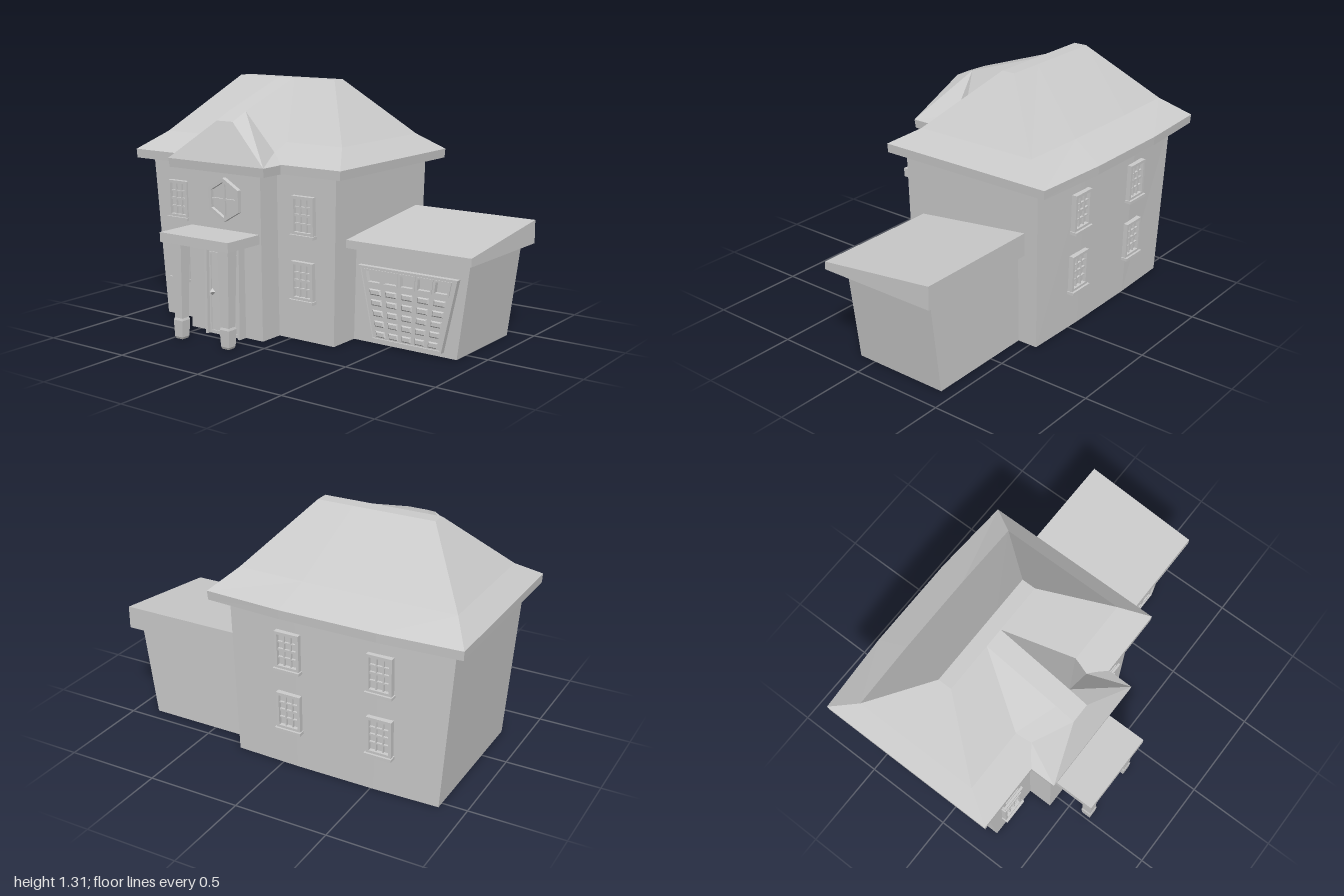
import * as THREE from 'three';

const mat = new THREE.MeshStandardMaterial({ color: 0xcccccc, flatShading: true });

function add(parent, name, geo, x = 0, y = 0, z = 0) {
  const m = new THREE.Mesh(geo, mat);
  m.name = name;
  m.position.set(x, y, z);
  parent.add(m);
  return m;
}

// flat-shaded faces, each a convex polygon of [x, y, z] corners
function faces(polys) {
  const v = [];
  for (const p of polys)
    for (let i = 1; i < p.length - 1; i++) v.push(...p[0], ...p[i], ...p[i + 1]);
  const g = new THREE.BufferGeometry();
  g.setAttribute('position', new THREE.Float32BufferAttribute(v, 3));
  g.computeVertexNormals();
  return g;
}

// closed solid through rings of equal length, bottom to top
function loft(rings) {
  const polys = [[...rings[0]].reverse(), rings[rings.length - 1]];
  for (let k = 0; k < rings.length - 1; k++) {
    const a = rings[k], b = rings[k + 1], n = a.length;
    for (let i = 0; i < n; i++) {
      const j = (i + 1) % n;
      polys.push([a[i], a[j], b[j], b[i]]);
    }
  }
  return faces(polys);
}

// rectangle ring; back and front heights may differ
const rect = (x0, x1, z0, z1, y, yBack = y) =>
  [[x0, y, z1], [x1, y, z1], [x1, yBack, z0], [x0, yBack, z0]];

// ring whose back edge bows outward from zc at the corners to zm in the middle
const bowed = (x0, x1, zf, zc, zm, y) => {
  const w = x1 - x0;
  return [[x0, y, zf], [x1, y, zf], [x1, y, zc],
    [x1 - w * 0.31, y, zm], [x0 + w * 0.31, y, zm], [x0, y, zc]];
};

const box = (w, h, d) => new THREE.BoxGeometry(w, h, d);

// extruded outline with optional hole outlines
function plate(pts, depth, holes = []) {
  const vec = (l) => l.map((p) => new THREE.Vector2(p[0], p[1]));
  const s = new THREE.Shape(vec(pts));
  holes.forEach((h) => s.holes.push(new THREE.Path(vec(h))));
  return new THREE.ExtrudeGeometry(s, { depth, bevelEnabled: false });
}

const quad = (x0, x1, y0, y1) => [[x0, y0], [x1, y0], [x1, y1], [x0, y1]];

// sash window standing on its sill, facing +z
function makeWindow(name) {
  const g = new THREE.Group();
  g.name = name;
  const w = 0.068, h = 0.2;
  add(g, 'windowFrame', plate(quad(-w, w, 0, h), 0.035, [quad(-w + 0.015, w - 0.015, 0.015, h - 0.015)]), 0, 0.01, -0.01);
  add(g, 'windowPane', box(0.12, 0.185, 0.014), 0, 0.11, -0.003);
  for (const x of [-0.019, 0.019]) add(g, 'mullion', box(0.007, 0.18, 0.016), x, 0.11, 0.008);
  for (const y of [0.068, 0.11, 0.152]) add(g, 'glazingBar', box(0.12, y === 0.11 ? 0.012 : 0.007, 0.016), 0, y, 0.008);
  add(g, 'windowSill', box(0.148, 0.016, 0.05), 0, 0.004, 0.012);
  return g;
}

export function createModel() {
  const house = new THREE.Group();
  house.name = 'house';

  // Main walls lean outward towards the eaves
  add(house, 'mainWalls', loft([
    bowed(-0.865, 0.27, 0.275, -0.54, -0.55, 0),
    bowed(-0.93, 0.293, 0.29, -0.55, -0.568, 0.88)]));
  add(house, 'bayWalls', loft([
    rect(-0.563, -0.078, 0, 0.413, 0), rect(-0.567, -0.078, 0, 0.425, 0.88)]));

  // Hipped main roof with flared eaves
  add(house, 'mainRoof', loft([
    bowed(-0.997, 0.362, 0.355, -0.637, -0.662, 0.87),
    bowed(-1, 0.365, 0.357, -0.64, -0.665, 0.918),
    bowed(-0.9, 0.268, 0.205, -0.49, -0.498, 1.01),
    bowed(-0.635, 0, -0.105, -0.18, -0.18, 1.31)]));

  // Bay roof: eave slab, front hip, flat ridge and two mirrored sides
  const cx = -0.3175, ridge = 0.0525;
  add(house, 'bayEaves', loft([
    rect(-0.63, -0.004, 0.15, 0.49, 0.868), rect(-0.635, 0, 0.15, 0.495, 0.915)]));
  const side = (s) => {
    const P = (dx, y, z) => [cx + s * dx, y, z];
    const eave = P(0.3175, 0.915, 0.495), valley = P(0.3175, 0.918, 0.35);
    const kinkLow = P(0.222, 0.965, 0.285), kinkHigh = P(0.243, 1.01, 0.2);
    const r0 = P(ridge, 1.12, 0.41), r1 = P(ridge, 1.165, 0.305), r2 = P(ridge, 1.31, -0.105);
    const list = [[eave, valley, kinkLow], [eave, kinkLow, r1, r0],
      [r1, kinkLow, kinkHigh], [r1, kinkHigh, r2]];
    return s > 0 ? list : list.map((f) => f.reverse());
  };
  const top = (s, y, z) => [cx + s * ridge, y, z];
  add(house, 'bayRoof', faces([
    ...side(1), ...side(-1),
    [[-0.635, 0.915, 0.495], [0, 0.915, 0.495], top(1, 1.12, 0.41), top(-1, 1.12, 0.41)],
    [top(-1, 1.12, 0.41), top(1, 1.12, 0.41), top(1, 1.165, 0.305), top(-1, 1.165, 0.305)],
    [top(-1, 1.165, 0.305), top(1, 1.165, 0.305), top(1, 1.31, -0.105), top(-1, 1.31, -0.105)]]));

  // Sash windows, front and back, two storeys
  for (const [x, y, z] of [[-0.74, 0.21, 0.28], [0.09, 0.21, 0.28], [-0.745, 0.55, 0.286], [0.098, 0.55, 0.286]]) {
    const w = makeWindow('frontWindow');
    w.position.set(x, y, z);
    w.rotation.x = 0.017;
    house.add(w);
  }
  for (const x of [-0.555, -0.05])
    for (const [y, z] of [[0.21, -0.554], [0.55, -0.561]]) {
      const w = makeWindow('backWindow');
      w.position.set(x, y, z);
      w.rotation.set(0.02, Math.PI, 0, 'YXZ');
      house.add(w);
    }

  // Hexagonal window over the porch
  const hex = (r) => Array.from({ length: 6 }, (_, i) => {
    const a = Math.PI / 2 + i * Math.PI / 3;
    return [r * Math.cos(a), r * Math.sin(a)];
  });
  const hexWindow = new THREE.Group();
  hexWindow.name = 'hexagonalWindow';
  hexWindow.position.set(-0.305, 0.72, 0.422);
  hexWindow.rotation.x = 0.03;
  add(hexWindow, 'hexFrame', plate(hex(0.115), 0.034, [hex(0.093)]), 0, 0, -0.009);
  add(hexWindow, 'hexPane', plate(hex(0.1), 0.012), 0, 0, -0.006);
  add(hexWindow, 'hexMullion', box(0.01, 0.19, 0.018), 0, 0, 0.008);
  add(hexWindow, 'hexGlazingBar', box(0.165, 0.01, 0.018), 0, 0, 0.008);
  house.add(hexWindow);

  // Front door with surround and knob
  add(house, 'doorSurround', plate(
    [[-0.422, 0], [-0.408, 0], [-0.408, 0.45], [-0.202, 0.45], [-0.202, 0], [-0.19, 0], [-0.19, 0.485], [-0.422, 0.485]],
    0.055), 0, 0, 0.41);
  add(house, 'frontDoor', box(0.21, 0.45, 0.04), -0.305, 0.225, 0.425);
  add(house, 'doorPanel', plate(quad(-0.4, -0.21, 0.01, 0.44), 0.006, [quad(-0.392, -0.218, 0.02, 0.43)]), 0, 0, 0.445);
  add(house, 'doorKnob', new THREE.OctahedronGeometry(0.02), -0.38, 0.228, 0.455);

  // Porch canopy on two tapered columns
  add(house, 'porchCanopy', box(0.455, 0.05, 0.275), -0.3175, 0.535, 0.5275);
  for (const x of [-0.46, -0.147]) {
    const sq = (r, y) => rect(-r, r, -r, r, y);
    add(house, 'porchColumn', loft([sq(0.025, 0.1), sq(0.034, 0.515)]), x, 0, 0.605);
    add(house, 'columnFoot', loft([sq(0.021, 0), sq(0.026, 0.012), sq(0.03, 0.1), sq(0.026, 0.112)]), x, 0, 0.605);
  }

  // Garage with sloping roof
  add(house, 'garageWalls', loft([
    rect(0.2, 0.878, -0.43, 0.095, 0), rect(0.2, 0.947, -0.43, 0.095, 0.51)]));
  add(house, 'garageRoof', loft([
    rect(0.25, 1, -0.47, 0.19, 0.5), rect(0.25, 1, -0.47, 0.19, 0.542, 0.622)]));

  // Garage door: u runs 0..1 across a trapezoid that widens upward
  const at = (u, y) => {
    const t = (y - 0.025) / 0.38;
    const l = 0.395 - 0.085 * t, r = 0.805 + 0.085 * t;
    return [l + (r - l) * u, y];
  };
  const cell = (u0, u1, y0, y1) => [at(u0, y0), at(u1, y0), at(u1, y1), at(u0, y1)];
  const holes = [];
  for (let i = 0; i < 5; i++) {
    const u = 0.055 + i * 0.18;
    holes.push(cell(u + 0.018, u + 0.152, 0.325, 0.38));
    add(house, 'garageWindowFrame', plate(cell(u, u + 0.17, 0.315, 0.39), 0.008,
      [cell(u + 0.018, u + 0.152, 0.325, 0.38)]), 0, 0, 0.112);
    // raised panels under each window
    for (let j = 0; j < 5; j++) {
      const y = 0.04 + j * 0.054;
      const a = cell(u + 0.015, u + 0.155, y, y + 0.036), b = cell(u + 0.035, u + 0.135, y + 0.008, y + 0.028);
      add(house, 'garagePanel', loft([a.map((p) => [...p, 0.113]), b.map((p) => [...p, 0.121])]));
    }
  }
  add(house, 'garageDoor', plate(cell(0, 1, 0.025, 0.405), 0.025, holes), 0, 0, 0.09);
  add(house, 'garageDoorFrame', plate(cell(0, 1, 0.025, 0.405), 0.032, [cell(0.025, 0.975, 0.036, 0.397)]), 0, 0, 0.092);

  return house;
}
